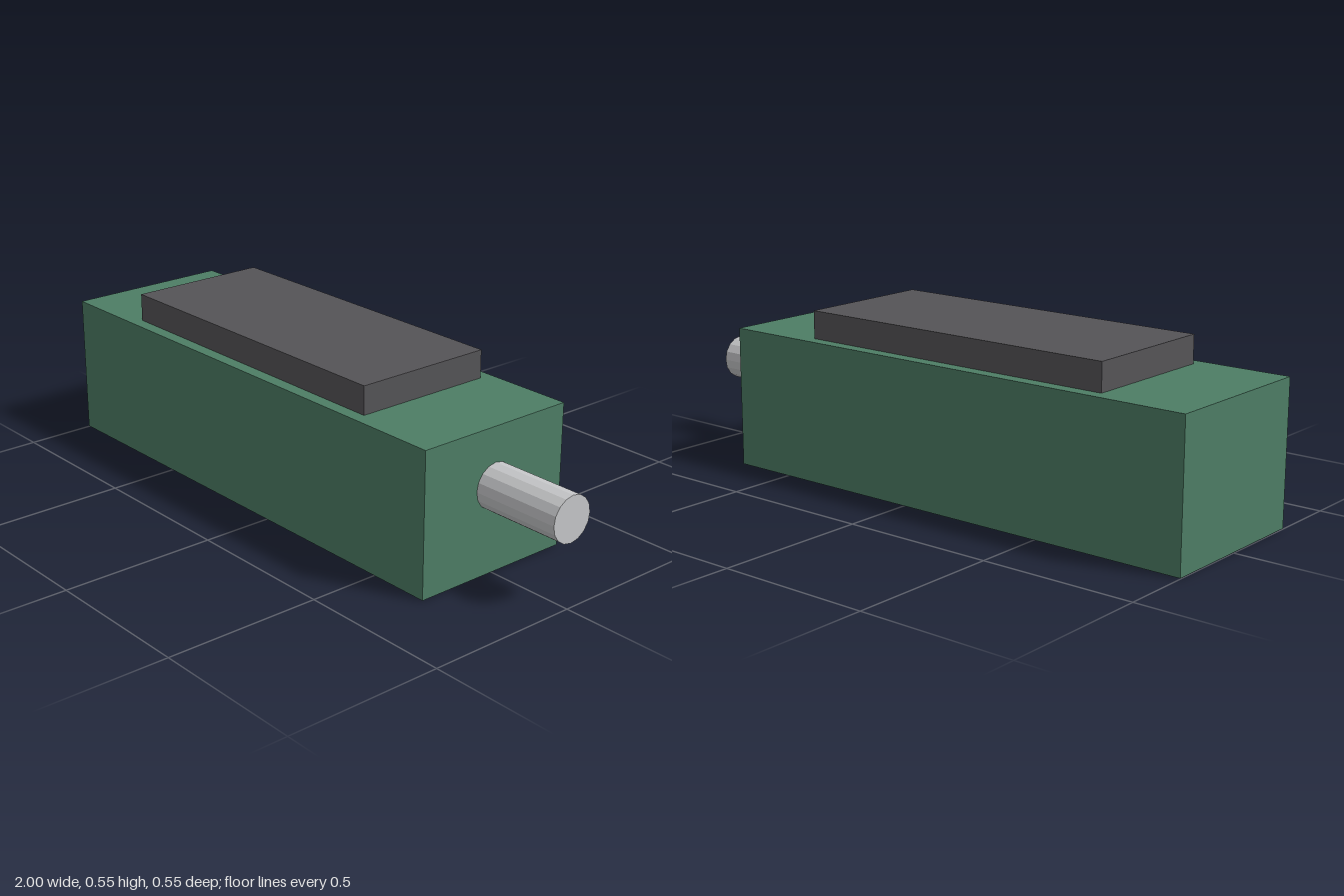
import * as THREE from 'three';

const green = new THREE.MeshStandardMaterial({ name: 'green housing', color: 0x4d7d65 });
const charcoal = new THREE.MeshStandardMaterial({ name: 'charcoal block', color: 0x555457 });
const steel = new THREE.MeshStandardMaterial({ name: 'light steel', color: 0xc6c7c9, flatShading: true });

export function createModel() {
  const model = new THREE.Group();
  model.name = 'motorUnit';

  const add = (name, geometry, material, x, y, z = 0) => {
    const mesh = new THREE.Mesh(geometry, material);
    mesh.name = name;
    mesh.position.set(x, y, z);
    model.add(mesh);
    return mesh;
  };

  // Long rectangular housing, its underside a hair above the core's
  const bottom = 0.002, top = 0.46;
  add('housing', new THREE.BoxGeometry(1.706, top - bottom, 0.55), green, -0.147, (top + bottom) / 2);

  // Core block passing through the housing: raised on top, flush below
  add('coreBlock', new THREE.BoxGeometry(1.106, 0.55, 0.467), charcoal, -0.147, 0.275);

  // Sixteen-sided output shaft on the left end
  const shaft = new THREE.CylinderGeometry(0.0725, 0.0725, 0.3, 16).rotateZ(-Math.PI / 2);
  add('shaft', shaft, steel, 0.85, 0.276);

  return model;
}
